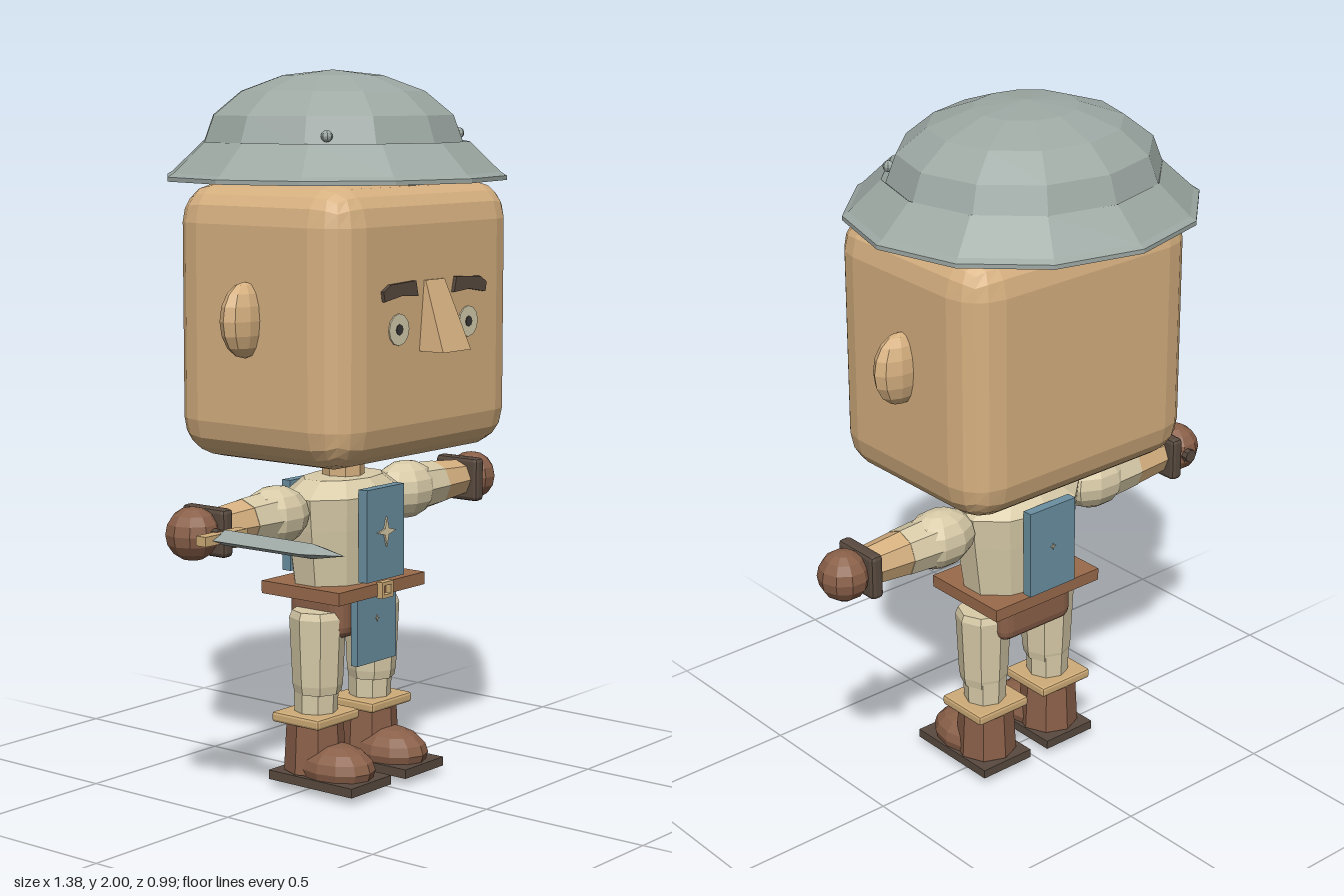
import * as THREE from 'three';
import { RoundedBoxGeometry } from 'three/addons/geometries/RoundedBoxGeometry.js';

const paint = (name, color) => {
  const m = new THREE.MeshStandardMaterial({ color, flatShading: true });
  m.name = name;
  return m;
};

export function createModel() {
  const skin = paint('skin', 0xd6b080), cloth = paint('linen', 0xd8cba8);
  const metal = paint('steel', 0x9da8a3), blue = paint('tabard blue', 0x6a8fa1);
  const leather = paint('leather', 0x8a6049), belt = paint('belt leather', 0x9a6a4b);
  const dark = paint('dark leather', 0x594a3f), trim = paint('tan trim', 0xcfac78);
  const white = paint('eye white', 0xd6ceae), black = paint('pupil', 0x3a3835);

  const model = new THREE.Group();
  model.name = 'toySoldier';
  const add = (name, geo, mat, x = 0, y = 0, z = 0, parent = model) => {
    const mesh = new THREE.Mesh(geo, mat);
    mesh.name = name;
    mesh.position.set(x, y, z);
    parent.add(mesh);
    return mesh;
  };
  const box = (w, h, d) => new THREE.BoxGeometry(w, h, d);
  const rounded = (w, h, d, r, s = 1) => new RoundedBoxGeometry(w, h, d, s, r);
  const ball = (rx, ry, rz, w = 12, h = 8) => new THREE.SphereGeometry(1, w, h).scale(rx, ry, rz);
  const tube = (top, bottom, h, n = 8) => new THREE.CylinderGeometry(top, bottom, h, n);
  const lathe = (pts, n) => new THREE.LatheGeometry(pts.map(p => new THREE.Vector2(...p)), n);
  const plate = (pts, depth) => new THREE.ExtrudeGeometry(
    new THREE.Shape(pts.map(p => new THREE.Vector2(...p))), { depth, bevelEnabled: false });
  const star = (r, depth) => plate(Array.from({ length: 8 }, (_, i) => {
    const a = i * Math.PI / 4, k = i % 2 ? r * 0.3 : r;
    return [Math.sin(-a) * k, Math.cos(a) * k];
  }), depth);

  // Head, neck and nose
  add('head', rounded(0.8, 0.755, 0.61, 0.11, 2), skin, 0, 1.3225, 0.005);
  add('neck', tube(0.06, 0.06, 0.14), skin, 0, 0.91, -0.005);
  const nose = box(0.125, 0.19, 0.1);
  const np = nose.attributes.position;
  for (let i = 0; i < np.count; i++) {
    if (np.getY(i) > 0) {
      np.setX(i, np.getX(i) * 0.68);
      if (np.getZ(i) > 0) np.setZ(i, -0.025);
    }
  }
  add('nose', nose, skin, 0, 1.345, 0.34);

  // Ears, eyes and brows
  for (const [side, s] of [['left', 1], ['right', -1]]) {
    add(side + 'Ear', ball(0.085, 0.102, 0.047, 10, 8), skin, s * 0.41, 1.34, -0.008);
    add(side + 'Eye', new THREE.CylinderGeometry(0.043, 0.043, 0.006, 12).rotateX(Math.PI / 2),
      white, s * 0.155, 1.315, 0.311);
    add(side + 'Pupil', new THREE.CylinderGeometry(0.015, 0.015, 0.006, 8).rotateX(Math.PI / 2),
      black, s * 0.155, 1.315, 0.313);
    const brow = [[0.08, 1.4], [0.15, 1.405], [0.225, 1.393], [0.23, 1.42], [0.2, 1.437], [0.09, 1.442]];
    const pts = brow.map(([x, y]) => [s * x, y]);
    add(side + 'Brow', plate(pts, 0.012), dark, 0, 0, 0.308);
  }

  // Helmet: squashed dome, sloping brim and rivets
  add('helmetDome', ball(0.385, 0.2, 0.354), metal, 0, 1.8, -0.042);
  add('helmetBrim', lathe([[0.37, 1.79], [0.484, 1.7], [0.495, 1.7], [0.495, 1.712],
    [0.478, 1.722], [0.388, 1.805], [0.37, 1.79]], 12).scale(1, 1, 0.943), metal, 0, 0, -0.032);
  for (const s of [1, -1]) add('helmetRivet', ball(0.016, 0.016, 0.016, 8, 6), metal, s * 0.29, 1.825, 0.176);

  // Torso and tabard
  add('torso', lathe([[0, 0.55], [0.17, 0.55], [0.198, 0.74], [0.208, 0.83], [0.14, 0.875], [0, 0.88]], 10)
    .scale(1, 1, 0.67), cloth, 0, 0, -0.005);
  add('tabardFront', box(0.166, 0.26, 0.03), blue, 0, 0.725, 0.133);
  add('tabardBack', box(0.166, 0.26, 0.03), blue, 0, 0.725, -0.145);
  add('tabardSkirt', box(0.175, 0.2, 0.022), blue, 0, 0.455, 0.106);
  add('chestStar', star(0.042, 0.006), cloth, 0, 0.73, 0.147);
  add('skirtStud', star(0.01, 0.004), cloth, 0, 0.48, 0.116);
  add('backStud', star(0.01, 0.004), cloth, 0, 0.73, -0.163);

  // Belt, buckle and hips
  add('belt', box(0.386, 0.036, 0.28), belt, 0, 0.566, -0.002);
  for (const s of [1, -1]) {
    add('buckleSide', box(0.01, 0.046, 0.02), trim, s * 0.02, 0.566, 0.146);
    add('buckleBar', box(0.05, 0.01, 0.02), trim, 0, 0.566 + s * 0.018, 0.146);
  }
  add('hips', rounded(0.265, 0.15, 0.195, 0.035, 2), leather, 0, 0.505, -0.006);

  for (const [side, s] of [['left', 1], ['right', -1]]) {
    // Legs and boots
    const leg = new THREE.Group();
    leg.name = side + 'Leg';
    leg.position.x = s * 0.121;
    model.add(leg);
    add('thigh', lathe([[0, 0.275], [0.066, 0.275], [0.071, 0.3], [0.08, 0.49], [0.072, 0.51], [0, 0.51]], 8),
      cloth, 0, 0, 0.002, leg);
    add('shin', tube(0.064, 0.06, 0.12), cloth, 0, 0.25, -0.004, leg);
    add('bootCuff', rounded(0.184, 0.03, 0.17, 0.008), trim, 0, 0.205, -0.006, leg);
    add('bootShaft', tube(0.08, 0.088, 0.15), leather, 0, 0.125, -0.008, leg);
    add('bootToe', ball(0.09, 0.068, 0.12, 12, 8), leather, 0, 0.068, 0.07, leg);
    add('sole', box(0.176, 0.026, 0.3), dark, 0, 0.034, 0.045, leg);

    // Arms stretched to the sides
    const arm = new THREE.Group();
    arm.name = side + 'Arm';
    arm.position.set(0, 0.795, -0.01);
    model.add(arm);
    const along = g => g.rotateZ(-s * Math.PI / 2);
    add('shoulder', ball(0.115, 0.085, 0.08, 10, 8), cloth, s * 0.29, 0, 0, arm);
    add('sleeve', along(tube(0.067, 0.075, 0.13)), cloth, s * 0.36, 0, 0, arm);
    add('forearm', along(tube(0.055, 0.066, 0.13)), skin, s * 0.485, 0, 0, arm);
    add('wristCuff', rounded(0.04, 0.13, 0.152, 0.012), dark, s * 0.56, 0, 0, arm);
    add('hand', ball(0.072, 0.072, 0.074, 10, 8), leather, s * 0.618, 0, 0, arm);
  }

  // Sword held forward in the right hand
  const sword = new THREE.Group();
  sword.name = 'sword';
  sword.position.set(-0.607, 0.795, 0);
  model.add(sword);
  add('grip', tube(0.02, 0.02, 0.17).rotateX(Math.PI / 2), dark, 0, 0, -0.008, sword);
  add('guard', box(0.162, 0.026, 0.034), trim, 0, 0, 0.083, sword);
  add('blade', lathe([[0, 0.09], [0.055, 0.095], [0.052, 0.39], [0, 0.495]], 4)
    .scale(1, 1, 0.38).rotateX(Math.PI / 2), metal, 0, 0, 0, sword);

  return model;
}
